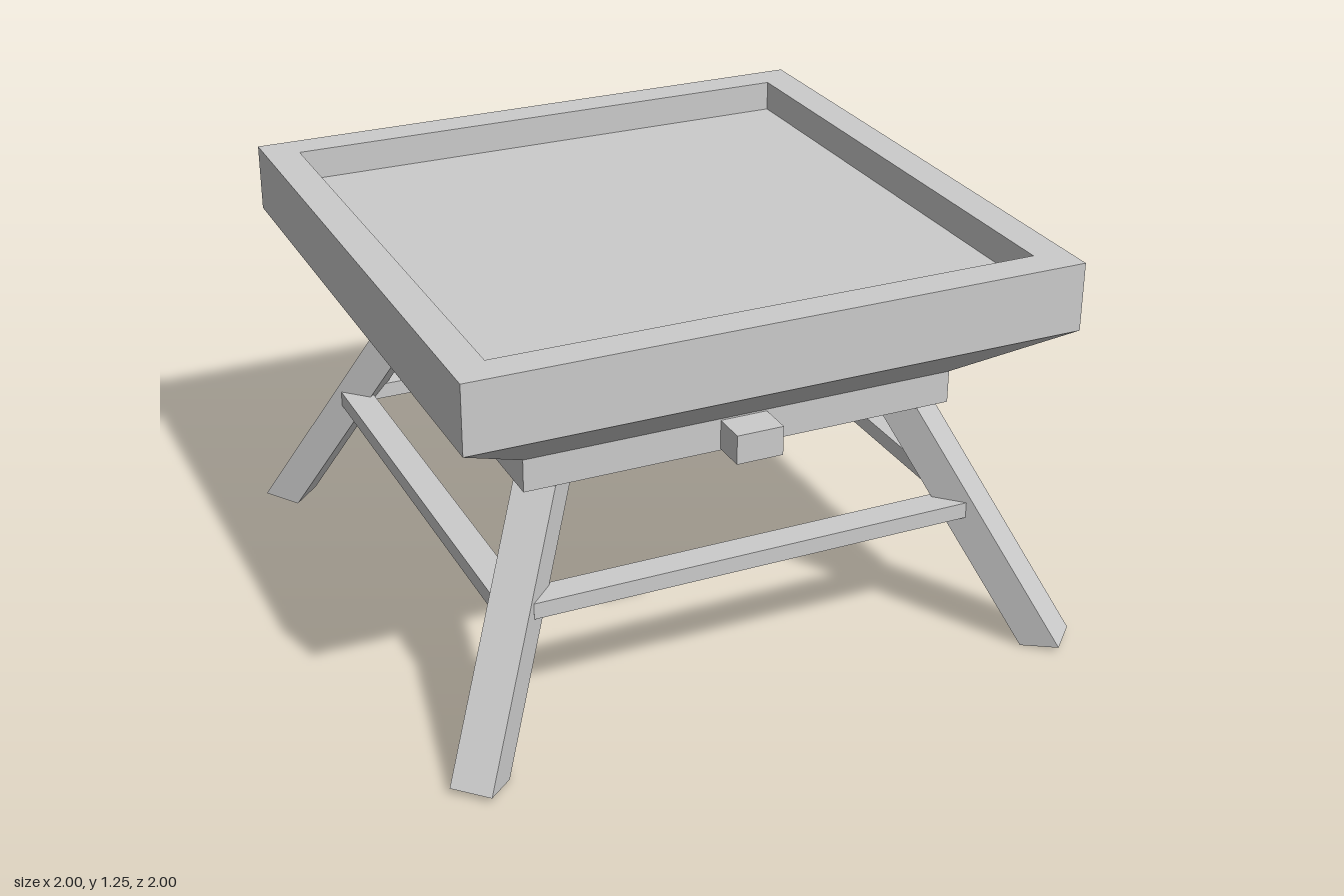
import * as THREE from 'three';

export function createModel() {
  const model = new THREE.Group();
  const material = new THREE.MeshStandardMaterial({ color: 0xcccccc, flatShading: true });

  const add = (name, geometry) => {
    const mesh = new THREE.Mesh(geometry, material);
    mesh.name = name;
    model.add(mesh);
    return mesh;
  };
  const addBox = (name, w, h, d, x, y, z) =>
    add(name, new THREE.BoxGeometry(w, h, d)).position.set(x, y, z);

  // Square tray: tapered underside, upright rim and sunken floor
  const profile = [
    [0, 0.845], [0.67, 0.845], [0.93, 1.037], [0.93, 1.245],
    [0.825, 1.245], [0.825, 1.15], [0, 1.15],
  ].map(([half, y]) => new THREE.Vector2(half * Math.SQRT2, y));
  const tray = new THREE.LatheGeometry(profile, 4).rotateY(Math.PI / 4).toNonIndexed();
  tray.computeVertexNormals();
  add('tray', tray);

  // Base slab under the tray
  addBox('base', 1.34, 0.1, 1.34, 0, 0.795, 0);

  // Lugs on the front and back of the base
  for (const s of [1, -1]) {
    addBox(s > 0 ? 'frontLug' : 'backLug', 0.145, 0.09, 0.125, 0, 0.795, s * 0.7125);
  }

  // Splayed legs: a box leaning outward along the diagonal, foot slightly tilted
  const legGeometry = () => {
    const g = new THREE.BoxGeometry(1, 1, 0.127);
    const p = g.attributes.position;
    for (let i = 0; i < p.count; i++) {
      const outer = p.getX(i) > 0;
      const foot = outer ? 0.017 : 0;
      const y = p.getY(i) > 0 ? 0.78 : foot;
      p.setXY(i, (outer ? 1.351 : 1.234) - 0.662 * (y - foot), y);
    }
    g.computeVertexNormals();
    return g;
  };
  const legNames = ['backLeftLeg', 'backRightLeg', 'frontRightLeg', 'frontLeftLeg'];
  legNames.forEach((name, i) => {
    add(name, legGeometry()).rotation.y = Math.PI / 4 + i * Math.PI / 2;
  });

  // Stretchers joining the legs on all four sides
  for (const s of [1, -1]) {
    addBox(s > 0 ? 'frontStretcher' : 'backStretcher', 1.38, 0.05, 0.09, 0, 0.43, s * 0.735);
    addBox(s > 0 ? 'leftStretcher' : 'rightStretcher', 0.09, 0.05, 1.38, s * 0.735, 0.43, 0);
  }

  return model;
}
